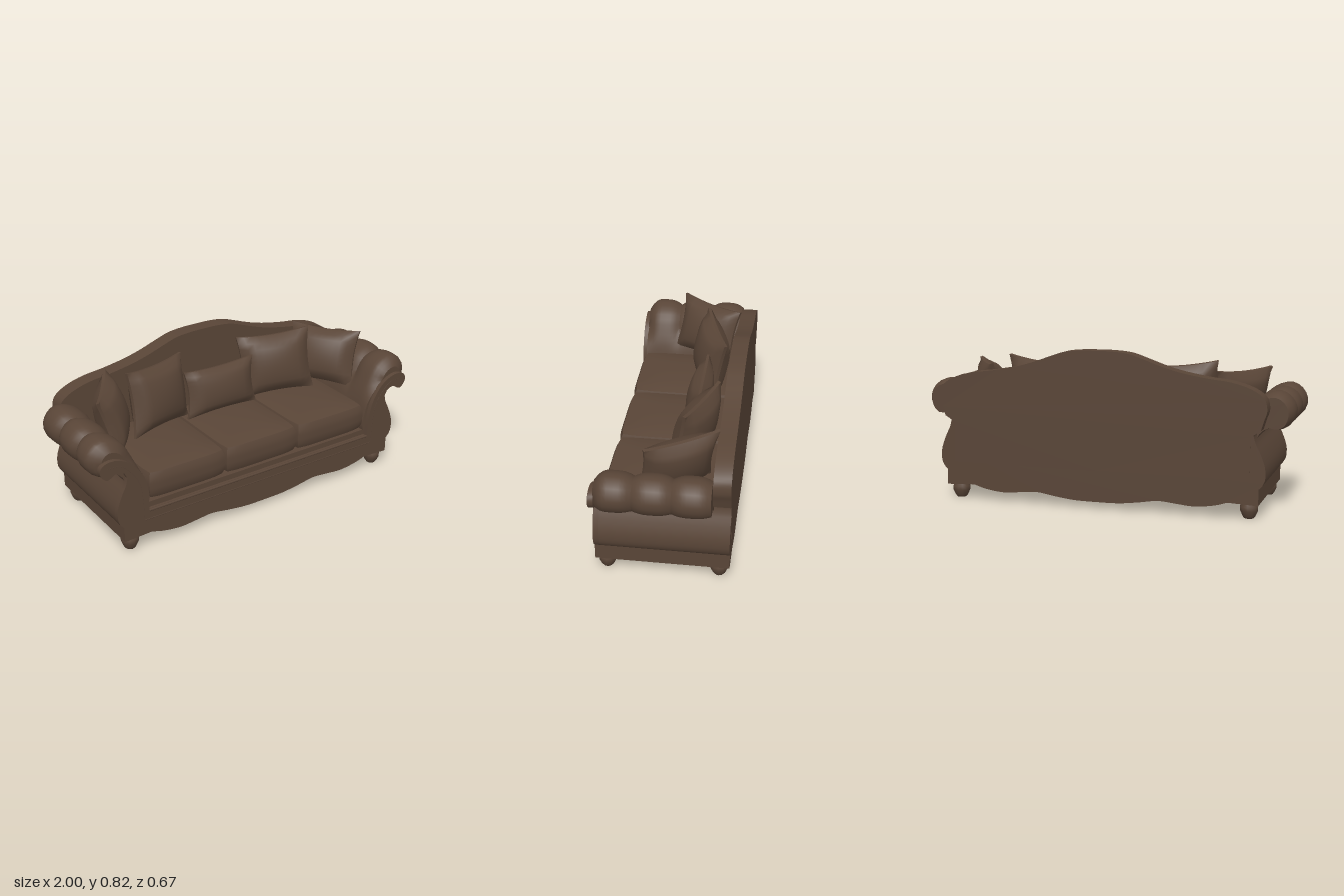
import * as THREE from 'three';
import { toCreasedNormals } from 'three/addons/utils/BufferGeometryUtils.js';

const brown = new THREE.MeshStandardMaterial({ color: 0x594537 });
brown.name = 'brown upholstery';

const V2 = ([x, y]) => new THREE.Vector2(x, y);
const smooth = (pts, n) => new THREE.SplineCurve(pts.map(V2)).getPoints(n).map((p) => [p.x, p.y]);

// Symmetric outline from its right half, extruded between two depths
function slab(half, z0, z1) {
  const mirrored = half.filter((p) => p[0] > 0.001).map(([x, y]) => [-x, y]).reverse();
  const geo = new THREE.ExtrudeGeometry(new THREE.Shape([...half, ...mirrored].map(V2)),
    { depth: z1 - z0, bevelEnabled: false });
  geo.translate(0, 0, z0);
  return toCreasedNormals(geo, 0.6);
}

// Box whose vertices are moved by a rule on normalised coordinates (-1..1)
function shapedBox(w, h, d, nx, ny, nz, rule) {
  const geo = new THREE.BoxGeometry(2, 2, 2, nx, ny, nz);
  const p = geo.attributes.position;
  for (let i = 0; i < p.count; i++) {
    const [x, y, z] = rule(p.getX(i), p.getY(i), p.getZ(i));
    p.setXYZ(i, x * w / 2, y * h / 2, z * d / 2);
  }
  geo.computeVertexNormals();
  return geo;
}

// Throw pillow: thin pinched rim, pointed corners, full middle
const pillowGeo = (w, h, d) => shapedBox(w, h, d, 10, 10, 2, (u, v, t) => [
  u * (1 - 0.09 * (1 - v * v)),
  v * (1 - 0.09 * (1 - u * u)),
  t * (0.1 + 0.9 * Math.pow((1 - u * u) * (1 - v * v), 0.45)),
]);

// Seat cushion: rounded sides with a crowned top
const seatGeo = (w, h, d) => shapedBox(w, h, d, 10, 5, 10, (u, v, t) => {
  const inset = 1 - 0.05 * v ** 4;
  const crown = v > 0 ? 0.2 * v * (1 - u * u) * (1 - t * t) : 0;
  return [u * inset * (1 - 0.04 * t ** 6), v * (1 - 0.1 * Math.max(u ** 6, t ** 6)) + crown,
    t * inset * (1 - 0.04 * u ** 6)];
});

// Rolled arm: scroll cross-section lofted front to back with three puffs
function armGeo() {
  const section = [[0.69, 0.24], [0.71, 0.4], [0.75, 0.5], [0.8, 0.585], [0.86, 0.622], [0.92, 0.63],
    [0.975, 0.595], [1, 0.535], [0.98, 0.475], [0.93, 0.442], [0.87, 0.445], [0.82, 0.41], [0.8, 0.3]];
  const n = 36, rings = 30, pos = [], idx = [];
  const pts = new THREE.CatmullRomCurve3(section.map(([x, y]) => new THREE.Vector3(x, y, 0)), true)
    .getSpacedPoints(n).slice(0, n);
  for (let r = 0; r <= rings; r++) {
    const t = r / rings;
    let k = 0.22 * (1 - Math.abs(Math.sin(3 * Math.PI * t))) ** 1.6;
    if (t > 0.9) k += 0.25 * ((t - 0.9) / 0.1) ** 2;
    for (const p of pts) {
      const s = 1 - k * THREE.MathUtils.smoothstep(p.y, 0.38, 0.52);
      pos.push(0.87 + (p.x - 0.87) * s, 0.52 + (p.y - 0.52) * s, -0.25 + 0.56 * t);
    }
  }
  for (let r = 0; r < rings; r++) {
    for (let i = 0; i < n; i++) {
      const a = r * n + i, b = r * n + (i + 1) % n;
      idx.push(a, a + n, b, b, a + n, b + n);
    }
  }
  // End caps
  const caps = THREE.ShapeUtils.triangulateShape(pts.map((p) => new THREE.Vector2(p.x, p.y)), []);
  for (const [a, b, c] of caps) {
    idx.push(a, b, c, rings * n + a, rings * n + c, rings * n + b);
  }
  const geo = new THREE.BufferGeometry();
  geo.setAttribute('position', new THREE.Float32BufferAttribute(pos, 3));
  geo.setIndex(idx);
  return toCreasedNormals(geo, 0.8);
}

export function createModel() {
  const sofa = new THREE.Group();
  sofa.name = 'sofa';
  const material = brown.clone();
  material.name = brown.name;
  material.side = THREE.DoubleSide;
  function add(name, geo, x = 0, y = 0, z = 0) {
    const mesh = new THREE.Mesh(geo, material);
    mesh.name = name;
    mesh.position.set(x, y, z);
    sofa.add(mesh);
    return mesh;
  }

  // Scalloped skirt and curved outer side shared by the body and front frame
  const skirt = smooth([[0, 0.035], [0.12, 0.037], [0.23, 0.05], [0.33, 0.065], [0.42, 0.058], [0.52, 0.05],
    [0.62, 0.062], [0.69, 0.082]], 28);
  const side = [[0.845, 0.075], [0.845, 0.158],
    ...smooth([[0.862, 0.175], [0.877, 0.21], [0.875, 0.27], [0.85, 0.34], [0.825, 0.39], [0.815, 0.43]], 12)];
  add('body', slab([...skirt, ...side, [0.83, 0.47], [0.78, 0.49], [0.73, 0.42], [0.7, 0.24], [0, 0.24]], -0.335, 0.305));

  // Front frame with scrolled arm fronts
  const scroll = smooth([[0.83, 0.46], [0.87, 0.475], [0.92, 0.45], [0.955, 0.48], [0.955, 0.52], [0.92, 0.543],
    [0.86, 0.54], [0.79, 0.5], [0.735, 0.42], [0.71, 0.33], [0.7, 0.21]], 30);
  add('frontFrame', slab([...skirt, ...side, ...scroll, [0, 0.21]], 0.305, 0.333));

  // Camel back
  const backTop = smooth([[0.85, 0.45], [0.865, 0.5], [0.88, 0.55], [0.865, 0.61], [0.8, 0.655], [0.7, 0.685],
    [0.58, 0.7], [0.45, 0.723], [0.35, 0.75], [0.25, 0.785], [0.17, 0.81], [0.08, 0.819], [0, 0.82]], 48);
  add('back', slab([[0, 0.2], [0.8, 0.2], [0.8, 0.42], ...backTop], -0.336, -0.25));

  // Raised trim on the front frame
  const rail = (pts, r) => new THREE.TubeGeometry(new THREE.CatmullRomCurve3(
    pts.map(([x, y]) => new THREE.Vector3(x, y, 0.329))), 40, r, 6);
  add('lowerMoulding', rail([[-0.73, 0.162], [0, 0.162], [0.73, 0.162]], 0.006));
  add('upperMoulding', rail([[-0.7, 0.208], [0, 0.208], [0.7, 0.208]], 0.007));

  const foot = new THREE.LatheGeometry([[0, 0], [0.025, 0], [0.034, 0.012], [0.046, 0.04], [0.046, 0.06],
    [0.038, 0.072], [0.036, 0.09]].map(V2), 12);
  const arm = armGeo();
  const sidePillow = pillowGeo(0.42, 0.35, 0.17);
  const endPillow = pillowGeo(0.4, 0.32, 0.16);
  for (const s of [1, -1]) {
    const tag = s > 0 ? 'left' : 'right';
    add(tag + 'Arm', arm).scale.x = s;
    add(tag + 'ArmTrim', rail([[0.73, 0.165], [0.735, 0.28], [0.75, 0.38], [0.79, 0.45], [0.85, 0.505], [0.92, 0.51]]
      .map(([x, y]) => [x * s, y]), 0.005));
    for (const z of [0.28, -0.28]) add(tag + (z > 0 ? 'FrontFoot' : 'BackFoot'), foot, s * 0.79, 0, z);
    add(tag + 'Pillow', sidePillow, s * 0.38, 0.58, -0.11).rotation.set(-0.18, -0.33 * s, 0.06 * s, 'YXZ');
    add(tag + 'EndPillow', endPillow, s * 0.68, 0.575, -0.06).rotation.set(-0.3, -1 * s, 0, 'YXZ');
  }
  add('centrePillow', pillowGeo(0.44, 0.26, 0.14), 0, 0.535, -0.09).rotation.x = -0.15;

  // Seat cushions
  const seat = seatGeo(0.465, 0.155, 0.57);
  for (const x of [-0.458, 0, 0.458]) add('seatCushion', seat, x, 0.325, 0.035);

  return sofa;
}
